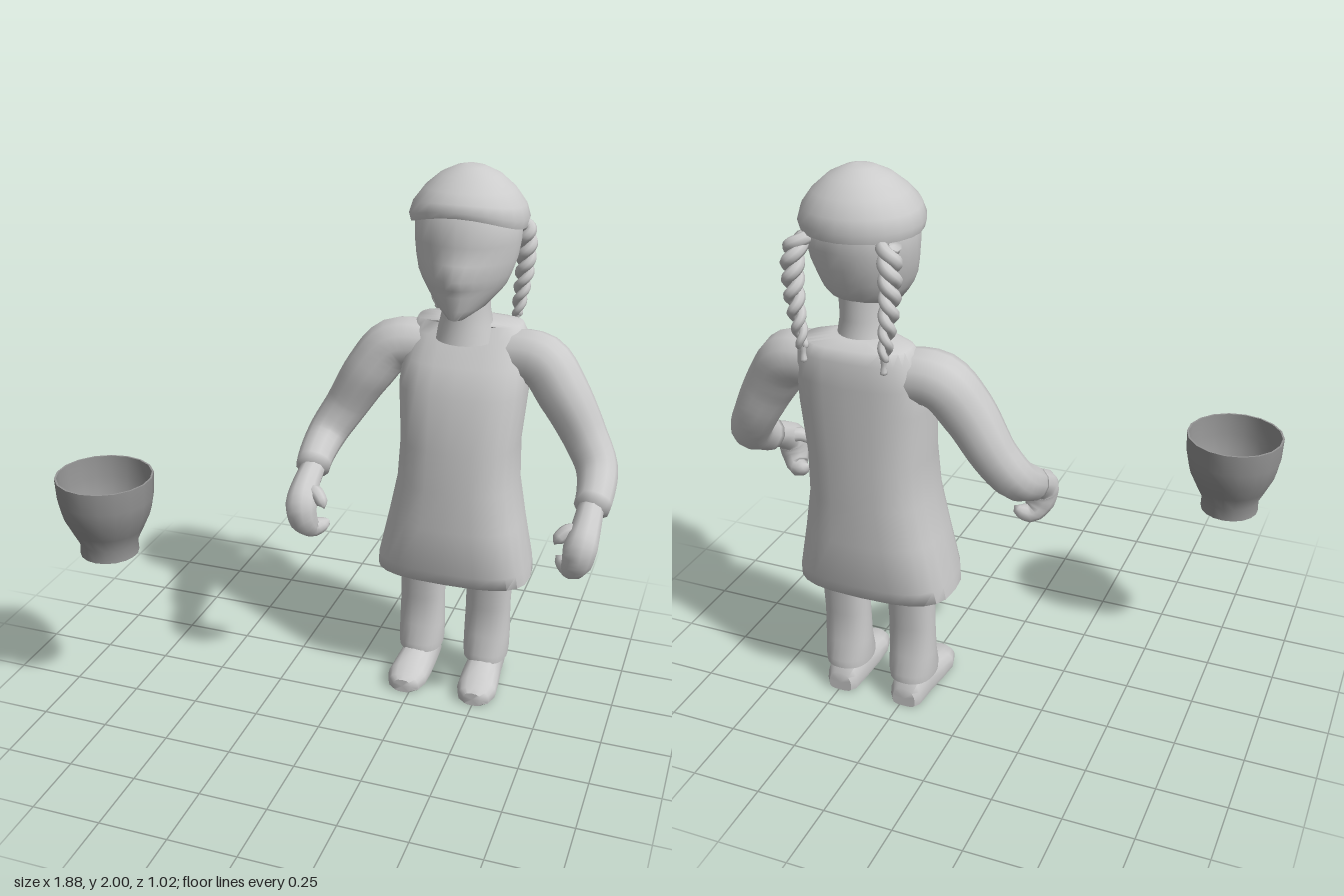
import * as THREE from 'three';
import { toCreasedNormals, mergeVertices } from 'three/addons/utils/BufferGeometryUtils.js';

const V = (x, y, z) => new THREE.Vector3(x, y, z);
const grey = new THREE.MeshStandardMaterial({ color: 0xcccccc, side: THREE.DoubleSide });
const darkGrey = new THREE.MeshStandardMaterial({ color: 0x959595, side: THREE.DoubleSide });

function part(parent, name, geometry, material = grey) {
  const mesh = new THREE.Mesh(geometry, material);
  mesh.name = name;
  parent.add(mesh);
  return mesh;
}

// Skin over a stack of rings (arrays of points), closed at both ends
function loft(rings, crease = 0.9) {
  const n = rings[0].length, pos = [], idx = [];
  const push = (p) => pos.push(p.x, p.y, p.z);
  rings.forEach((ring) => ring.forEach(push));
  for (let i = 0; i < rings.length - 1; i++) {
    for (let j = 0; j < n; j++) {
      const a = i * n + j, b = i * n + (j + 1) % n;
      idx.push(a, a + n, b, b, a + n, b + n);
    }
  }
  [rings[0], rings[rings.length - 1]].forEach((ring, end) => {
    const centre = pos.length / 3, base = end ? (rings.length - 1) * n : 0;
    push(ring.reduce((sum, p) => sum.add(p), V(0, 0, 0)).divideScalar(n));
    for (let j = 0; j < n; j++) {
      const a = base + j, b = base + (j + 1) % n;
      idx.push(centre, end ? b : a, end ? a : b);
    }
  });
  const geo = new THREE.BufferGeometry();
  geo.setAttribute('position', new THREE.Float32BufferAttribute(pos, 3));
  geo.setIndex(idx);
  return toCreasedNormals(geo, crease);
}

const pow = (v, p) => Math.sign(v) * Math.abs(v) ** (2 / p);

// Horizontal ring: height, half width, front z, back z, squareness of front and back
function oval(y, rx, zf, zb, pf = 2, pb = pf, n = 24) {
  return Array.from({ length: n }, (_, j) => {
    const a = (j / n) * Math.PI * 2, p = Math.sin(a) > 0 ? pf : pb;
    return V(rx * pow(Math.cos(a), p), y, (zf + zb) / 2 + ((zf - zb) / 2) * pow(Math.sin(a), p));
  });
}

// Tube along points [x, y, z, radius] with a changing radius
function sweep(points, steps, sides) {
  const curve = new THREE.CatmullRomCurve3(points.map((p) => V(p[0], p[1], p[2])));
  const geo = new THREE.TubeGeometry(curve, steps, 1, sides);
  const pos = geo.attributes.position, v = V(0, 0, 0);
  for (let i = 0; i <= steps; i++) {
    const t = curve.getUtoTmapping(i / steps) * (points.length - 1);
    const k = Math.min(Math.floor(t), points.length - 2);
    const r = THREE.MathUtils.lerp(points[k][3], points[k + 1][3], t - k);
    const c = curve.getPointAt(i / steps);
    for (let j = 0; j <= sides; j++) {
      const id = i * (sides + 1) + j;
      v.fromBufferAttribute(pos, id).sub(c).multiplyScalar(r).add(c);
      pos.setXYZ(id, v.x, v.y, v.z);
    }
  }
  geo.deleteAttribute('uv');
  geo.deleteAttribute('normal');
  const smooth = mergeVertices(geo, 1e-5);
  smooth.computeVertexNormals();
  return smooth;
}

function addArm(parent, s) {
  const arm = new THREE.Group();
  arm.name = s > 0 ? 'leftArm' : 'rightArm';
  parent.add(arm);
  const limb = (name, pts, steps, sides) =>
    part(arm, name, sweep(pts.map(([x, y, z, r]) => [s * x, y, z, r]), steps, sides));
  limb('sleeve', [
    [0.10, 1.32, -0.35, 0.09], [0.27, 1.315, -0.335, 0.098], [0.36, 1.21, -0.315, 0.094],
    [0.45, 1.06, -0.305, 0.08], [0.505, 0.965, -0.265, 0.074], [0.52, 0.9, -0.17, 0.066],
    [0.515, 0.86, -0.105, 0.062], [0.515, 0.857, -0.1, 0],
  ], 28, 12);
  // Curled hand with an inward thumb
  limb('hand', [
    [0.515, 0.87, -0.12, 0.046], [0.515, 0.83, -0.04, 0.052], [0.51, 0.785, 0.015, 0.06],
    [0.5, 0.725, 0.015, 0.054], [0.475, 0.685, -0.015, 0.038], [0.435, 0.7, -0.035, 0.024],
    [0.42, 0.715, -0.035, 0],
  ], 22, 10);
  limb('thumb', [
    [0.5, 0.82, -0.03, 0.03], [0.46, 0.825, -0.01, 0.028], [0.43, 0.8, 0.01, 0.022],
    [0.42, 0.78, 0.015, 0],
  ], 10, 8);
}

function addLeg(parent, s) {
  const leg = new THREE.Group();
  leg.name = s > 0 ? 'leftLeg' : 'rightLeg';
  leg.position.x = s * 0.13;
  parent.add(leg);
  part(leg, 'trouserLeg', loft([
    oval(0.1, 0.083, -0.215, -0.405, 2.3), oval(0.13, 0.086, -0.215, -0.405, 2.3),
    oval(0.2, 0.088, -0.245, -0.38, 2.3), oval(0.32, 0.085, -0.245, -0.375, 2.3),
    oval(0.5, 0.088, -0.235, -0.385, 2.3),
  ]));
  // Shoe stations from heel to toe: z, half width, top height, outward drift
  const stations = [
    [-0.41, 0.045, 0.08, 0], [-0.39, 0.06, 0.12, 0], [-0.3, 0.066, 0.14, 0], [-0.21, 0.074, 0.11, 0.004],
    [-0.14, 0.076, 0.082, 0.008], [-0.09, 0.06, 0.068, 0.008], [-0.072, 0.035, 0.055, 0.008],
  ];
  part(leg, 'shoe', loft(stations.map(([z, w, top, dx]) =>
    Array.from({ length: 16 }, (_, j) => {
      const a = (j / 16) * Math.PI * 2, up = -Math.sin(a);
      const y = up > 0 ? 0.03 + (top - 0.03) * pow(up, 2) : 0.03 + 0.028 * pow(up, 5);
      return V(s * dx + w * pow(Math.cos(a), 2.6), y, z);
    })), 0.8));
}

function addBraid(parent, s) {
  const braid = new THREE.Group();
  braid.name = s > 0 ? 'leftBraid' : 'rightBraid';
  parent.add(braid);
  const spine = new THREE.CatmullRomCurve3([
    V(s * 0.145, 1.79, -0.415), V(s * 0.165, 1.75, -0.45), V(s * 0.168, 1.62, -0.468),
    V(s * 0.155, 1.5, -0.475), V(s * 0.145, 1.42, -0.478),
  ]);
  for (const phase of [0, Math.PI]) {
    const pts = [];
    for (let i = 0; i <= 48; i++) {
      const u = i / 48, a = phase + s * u * Math.PI * 7, c = spine.getPointAt(u);
      const size = 1 - 0.5 * u * u;
      pts.push([c.x + Math.cos(a) * 0.02 * size, c.y, c.z + Math.sin(a) * 0.02 * size, 0.022 * size]);
    }
    pts[0][3] = pts[48][3] = 0;
    part(braid, 'braidStrand', sweep(pts, 72, 8));
  }
  // Loose tuft below the tie
  part(braid, 'braidTip', sweep([
    [s * 0.145, 1.43, -0.478, 0.012], [s * 0.144, 1.405, -0.479, 0.009], [s * 0.143, 1.375, -0.48, 0.014],
    [s * 0.143, 1.372, -0.48, 0],
  ], 8, 8));
}

export function createModel() {
  const model = new THREE.Group();
  model.name = 'figureWithPot';
  const figure = new THREE.Group();
  figure.name = 'figure';
  figure.position.x = 0.362;
  model.add(figure);

  // Dress from hem to shoulders
  part(figure, 'dress', loft([
    oval(0.455, 0.265, -0.16, -0.42, 3), oval(0.475, 0.291, -0.115, -0.455, 3),
    oval(0.53, 0.285, -0.095, -0.472, 3), oval(0.7, 0.25, -0.097, -0.477, 2.8),
    oval(0.85, 0.222, -0.103, -0.48, 2.7), oval(1.0, 0.216, -0.115, -0.482, 2.7),
    oval(1.2, 0.232, -0.145, -0.482, 2.7), oval(1.3, 0.228, -0.19, -0.482, 2.7),
    oval(1.39, 0.21, -0.26, -0.48, 2.8), oval(1.43, 0.19, -0.285, -0.465, 2.8),
    oval(1.445, 0.1, -0.26, -0.42, 2),
  ], 1.0));

  part(figure, 'neck', loft([
    oval(1.38, 0.11, -0.2, -0.43), oval(1.44, 0.095, -0.215, -0.405),
    oval(1.5, 0.083, -0.225, -0.395), oval(1.62, 0.085, -0.225, -0.395),
  ]));

  // Head with a ridged face and a small nose
  part(figure, 'head', loft([
    oval(1.495, 0.03, -0.122, -0.2, 1.7, 2), oval(1.53, 0.085, -0.112, -0.33, 1.7, 2.2),
    oval(1.58, 0.13, -0.105, -0.405, 1.7, 2.2), oval(1.605, 0.148, -0.1, -0.42, 1.65, 2.2),
    oval(1.64, 0.163, -0.08, -0.435, 1.55, 2.2), oval(1.69, 0.177, -0.105, -0.45, 1.75, 2.2),
    oval(1.75, 0.184, -0.115, -0.462, 2, 2.2), oval(1.84, 0.185, -0.118, -0.465, 2, 2.2),
    oval(1.92, 0.12, -0.18, -0.4),
  ], 1.2));

  // Cap with a rim that lifts over the forehead
  const cap = [
    [1.8, 0.175, 0.165], [1.795, 0.2, 0.186], [1.825, 0.208, 0.192], [1.87, 0.194, 0.181],
    [1.92, 0.157, 0.15], [1.965, 0.105, 0.1], [1.99, 0.052, 0.05], [2.0, 0.01, 0.01],
  ].map(([y, rx, rz]) => {
    const ring = oval(y, rx, -0.297 + rz, -0.297 - rz, 2.05);
    const lift = 0.055 * THREE.MathUtils.clamp((1.93 - y) / 0.13, 0, 1);
    ring.forEach((p) => { p.y += lift * Math.max(0, (p.z + 0.297) / rz) ** 2; });
    return ring;
  });
  part(figure, 'cap', loft(cap, 1.1));

  for (const s of [-1, 1]) {
    addArm(figure, s);
    addLeg(figure, s);
    addBraid(figure, s);
  }

  // Open pot with a narrow foot
  const profile = [
    [0, 0.65], [0.105, 0.65], [0.103, 0.695], [0.13, 0.75], [0.158, 0.81], [0.17, 0.87], [0.174, 0.95],
    [0.167, 0.95], [0.162, 0.87], [0.149, 0.81], [0.12, 0.75], [0.09, 0.7], [0, 0.7],
  ].map(([r, y]) => new THREE.Vector2(r, y));
  const pot = part(model, 'pot', toCreasedNormals(new THREE.LatheGeometry(profile, 18), 0.6), darkGrey);
  pot.position.set(-0.763, 0, 0.343);
  return model;
}
